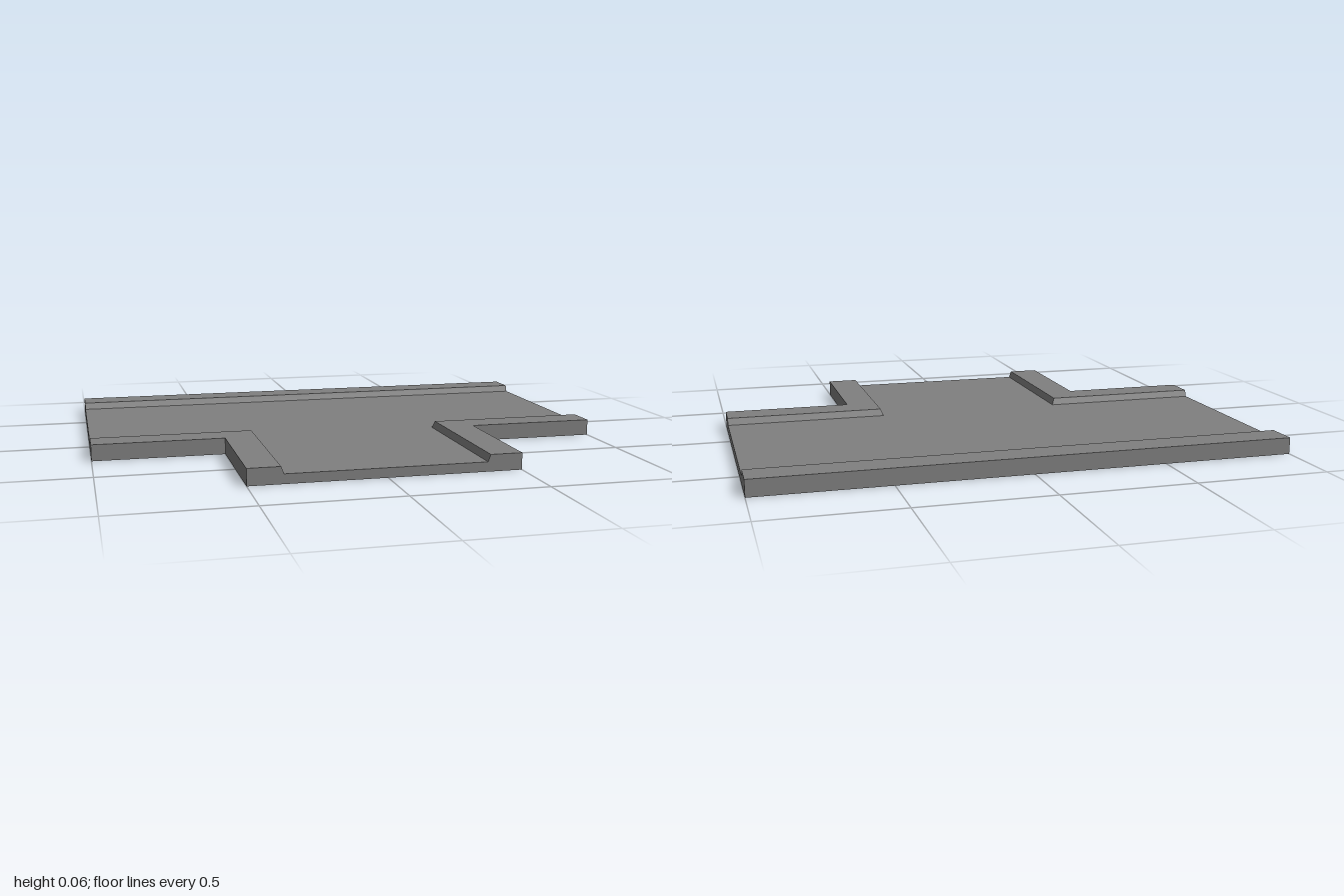
import * as THREE from 'three';

const TOP = 0.0625;    // kerb height
const FLOOR = 0.036;   // channel height

// Flat polygon from [u, v] pairs, facing +z before it is turned
function plate(points) {
  return new THREE.ShapeGeometry(new THREE.Shape(points.map(([u, v]) => new THREE.Vector2(u, v))));
}

// Horizontal polygon from [x, z] pairs at height y, facing up
function deck(points, y) {
  return plate(points.map(([x, z]) => [x, -z])).rotateX(-Math.PI / 2).translate(0, y, 0);
}

// Faces between a lower and an upper path of [x, z] pairs, running left to right
function strip(lower, y0, upper, y1) {
  const pos = [];
  for (let i = 0; i < lower.length - 1; i++) {
    const a = [lower[i][0], y0, lower[i][1]];
    const b = [lower[i + 1][0], y0, lower[i + 1][1]];
    const c = [upper[i][0], y1, upper[i][1]];
    const d = [upper[i + 1][0], y1, upper[i + 1][1]];
    pos.push(...a, ...b, ...d, ...a, ...d, ...c);
  }
  const g = new THREE.BufferGeometry();
  g.setAttribute('position', new THREE.Float32BufferAttribute(pos, 3));
  g.computeVertexNormals();
  return g;
}

// Mirror a path across x, keeping the left-to-right order
const mirror = (path) => path.map(([x, z]) => [-x, z]).reverse();

export function createModel() {
  const group = new THREE.Group();
  const grey = new THREE.MeshStandardMaterial({ color: 0x808080, side: THREE.DoubleSide });
  grey.name = 'grey';
  const add = (name, geometry) => {
    const mesh = new THREE.Mesh(geometry, grey);
    mesh.name = name;
    group.add(mesh);
  };

  // Sunken T-shaped channel floor
  add('channelFloor', deck([
    [-1, -0.62], [1, -0.62], [1, 0.12], [0.37, 0.12],
    [0.37, 0.75], [-0.37, 0.75], [-0.37, 0.12], [-1, 0.12],
  ], FLOOR));

  // Straight kerb along the back
  add('backKerbTop', deck([[-1, -0.75], [1, -0.75], [1, -0.63], [-1, -0.63]], TOP));
  add('backKerbSlope', strip([[-1, -0.62], [1, -0.62]], FLOOR, [[-1, -0.63], [1, -0.63]], TOP));
  const back = [[1, -0.75], [-1, -0.75]];
  add('backWall', strip(back, 0, back, TOP));

  // L-shaped corner kerbs on both sides of the stem
  const outer = [[0.5, 0.75], [0.5, 0.25], [1, 0.25]];
  const slopeLow = [[1, 0.12], [0.37, 0.12], [0.37, 0.75]];
  const slopeHigh = [[1, 0.13], [0.38, 0.13], [0.38, 0.75]];
  for (const [side, f] of [['left', (p) => p], ['right', mirror]]) {
    add(side + 'KerbTop', deck(f([...outer, ...slopeHigh]), TOP));
    add(side + 'KerbSlope', strip(f(slopeLow), FLOOR, f(slopeHigh), TOP));
    add(side + 'KerbWall', strip(f(outer), 0, f(outer), TOP));
  }

  // End walls following the channel section; the underside stays open
  const endSection = [
    [-0.75, 0], [0.25, 0], [0.25, TOP], [0.13, TOP],
    [0.12, FLOOR], [-0.62, FLOOR], [-0.63, TOP], [-0.75, TOP],
  ];
  add('leftEndWall', plate(endSection.map(([z, y]) => [-z, y])).rotateY(Math.PI / 2).translate(1, 0, 0));
  add('rightEndWall', plate(endSection).rotateY(-Math.PI / 2).translate(-1, 0, 0));
  add('stemEndWall', plate([
    [-0.5, 0], [0.5, 0], [0.5, TOP], [0.38, TOP],
    [0.37, FLOOR], [-0.37, FLOOR], [-0.38, TOP], [-0.5, TOP],
  ]).translate(0, 0, 0.75));

  return group;
}
